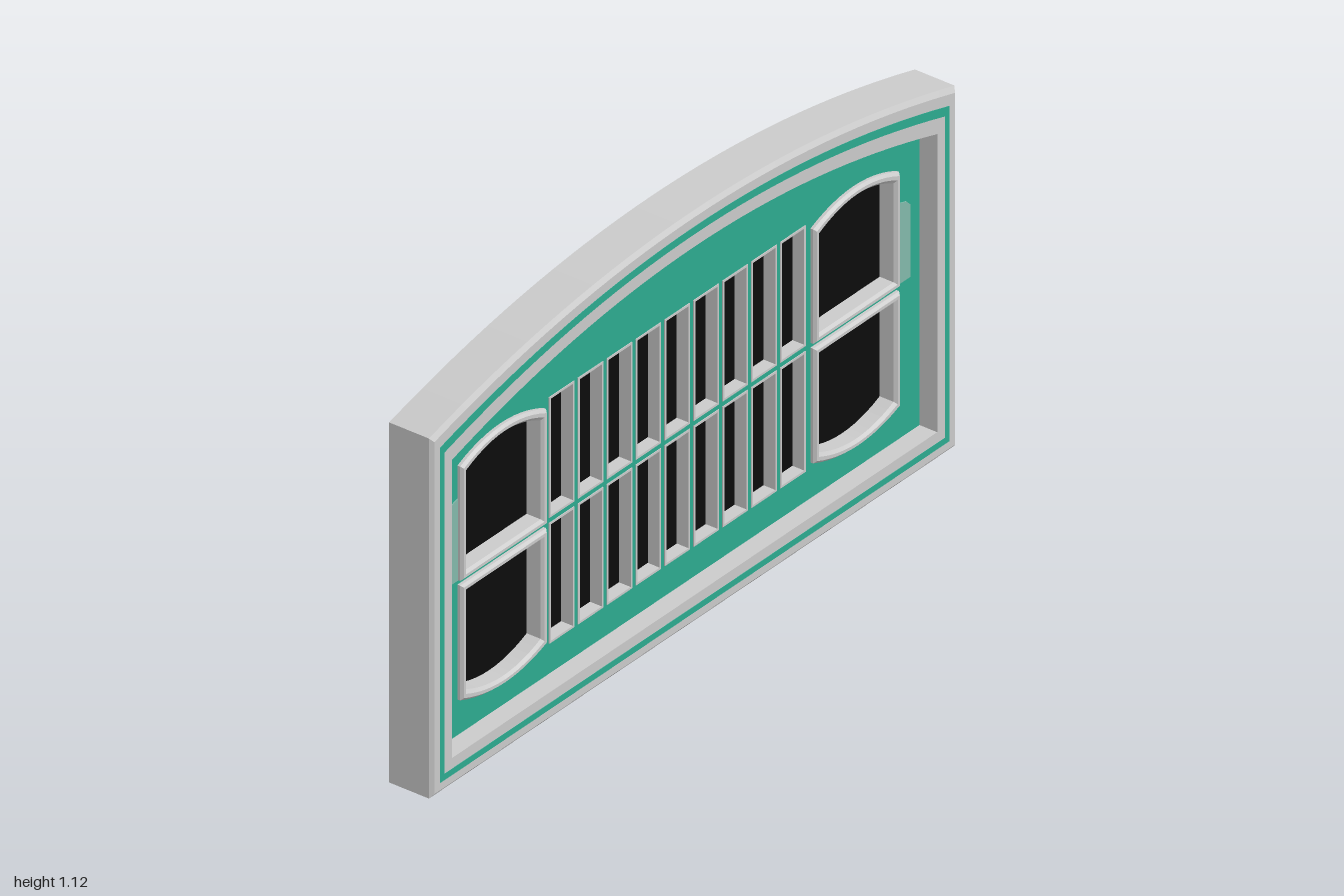
import * as THREE from 'three';

const paint = (name, color) => {
  const m = new THREE.MeshStandardMaterial({ color });
  m.name = name;
  return m;
};

// Counter-clockwise outline with bowed top and bottom edges, moved inwards by d
function outline(o, d = 0) {
  const n = o.n ?? 1, rise = d * (o.rise ?? 1);
  const w = o.x1 - o.x0 - 2 * d, pts = [];
  for (let i = 0; i <= n; i++) {
    const t = i / n;
    pts.push([o.x0 + d + w * t, o.y0 + d - (o.bottom ?? 0) * 4 * t * (1 - t)]);
  }
  for (let i = n; i >= 0; i--) {
    const t = i / n;
    pts.push([o.x0 + d + w * t, o.y1 - rise + (o.top ?? 0) * 4 * t * (1 - t)]);
  }
  return pts;
}

// Moulding: sweeps a list of [inset, z] steps around an outline
function moulding(o, steps) {
  const rings = steps.map(([d, z]) => outline(o, d).map(([x, y]) => [x, y, z]));
  const pos = [];
  for (let k = 0; k < rings.length - 1; k++) {
    const p = rings[k], q = rings[k + 1];
    for (let i = 0; i < p.length; i++) {
      const j = (i + 1) % p.length;
      pos.push(...p[i], ...p[j], ...q[j], ...p[i], ...q[j], ...q[i]);
    }
  }
  const g = new THREE.BufferGeometry();
  g.setAttribute('position', new THREE.Float32BufferAttribute(pos, 3));
  g.computeVertexNormals();
  return g;
}

const toShape = pts => new THREE.Shape(pts.map(([x, y]) => new THREE.Vector2(x, y)));

export function createModel() {
  const root = new THREE.Group();
  root.name = 'archedWindowPanel';
  const grey = paint('light grey', 0xcacaca);
  const teal = paint('teal', 0x2dab90);
  const pale = paint('pale teal', 0x82b9aa);
  const black = paint('black glass', 0x0c0c0c);

  const add = (name, geometry, material, z = 0) => {
    const m = new THREE.Mesh(geometry, material);
    m.name = name;
    m.position.z = z;
    root.add(m);
    return m;
  };

  const BACK = -0.0635, FRONT = 0.0625, PANEL = 0.01, GLASS = -0.025;
  const body = { x0: -1, x1: 1, y0: 0, y1: 0.985, top: 0.138, n: 32, rise: 1.2 };

  // Outer frame with a chamfered front edge, and the flat back
  add('outerFrame', moulding(body, [[0, BACK], [0, 0.054], [0.01, FRONT], [0.077, FRONT], [0.077, PANEL - 0.01]]), grey);
  const back = add('backWall', new THREE.ShapeGeometry(toShape(outline(body).map(([x, y]) => [-x, y]))), grey, BACK);
  back.rotation.y = Math.PI;

  // Painted line around the frame
  add('frameStripe', moulding(body, [[0.031, FRONT], [0.031, FRONT + 0.001], [0.048, FRONT + 0.001], [0.048, FRONT]]), teal);

  // Window openings: four bowed corner windows and two rows of narrow panes
  const corners = [], panes = [];
  for (const s of [-1, 1]) {
    const x0 = s < 0 ? -0.835 : 0.508, x1 = s < 0 ? -0.508 : 0.835;
    corners.push({ x0, x1, y0: 0.502, y1: 0.815, top: 0.037, n: 12 });
    corners.push({ x0, x1, y0: 0.175, y1: 0.489, bottom: 0.032, n: 12 });
  }
  for (const [y0, y1] of [[0.16, 0.49], [0.504, 0.834]]) {
    for (let i = -4; i <= 4; i++) {
      panes.push({ x0: i * 0.11 - 0.048, x1: i * 0.11 + 0.048, y0, y1 });
    }
  }

  // Recessed panel pierced by the openings
  const panel = toShape(outline(body, 0.076));
  panel.holes = [...corners, ...panes].map(o => toShape(outline(o)));
  add('panel', new THREE.ExtrudeGeometry(panel, { depth: 0.04, bevelEnabled: false }), teal, PANEL - 0.04);

  // Dark glass behind the openings
  const glass = add('glass', new THREE.BoxGeometry(1.7, 0.74, 0.004), black, GLASS);
  glass.position.y = 0.495;

  // Raised frames of the corner windows
  for (const o of corners) {
    add('cornerWindowFrame', moulding(o, [[0, GLASS], [0, 0.018], [0.006, 0.025], [0.014, 0.025], [0.021, 0.018], [0.021, GLASS]]), grey);
  }

  // Slim frames of the narrow panes
  for (const o of panes) {
    add('paneFrame', moulding(o, [[0, GLASS], [0, 0.012], [0.006, 0.012], [0.006, GLASS]]), grey);
  }

  // Pale plates beside the upper corner windows
  for (const s of [-1, 1]) {
    const pts = [[0.836, 0.502], [0.885, 0.502], [0.885, 0.70], [0.87, 0.715], [0.836, 0.725]];
    const plate = toShape(pts.map(([x, y]) => [s * x, y]));
    add('sidePlate', new THREE.ExtrudeGeometry(plate, { depth: 0.003, bevelEnabled: false }), pale, PANEL);
  }
  return root;
}
